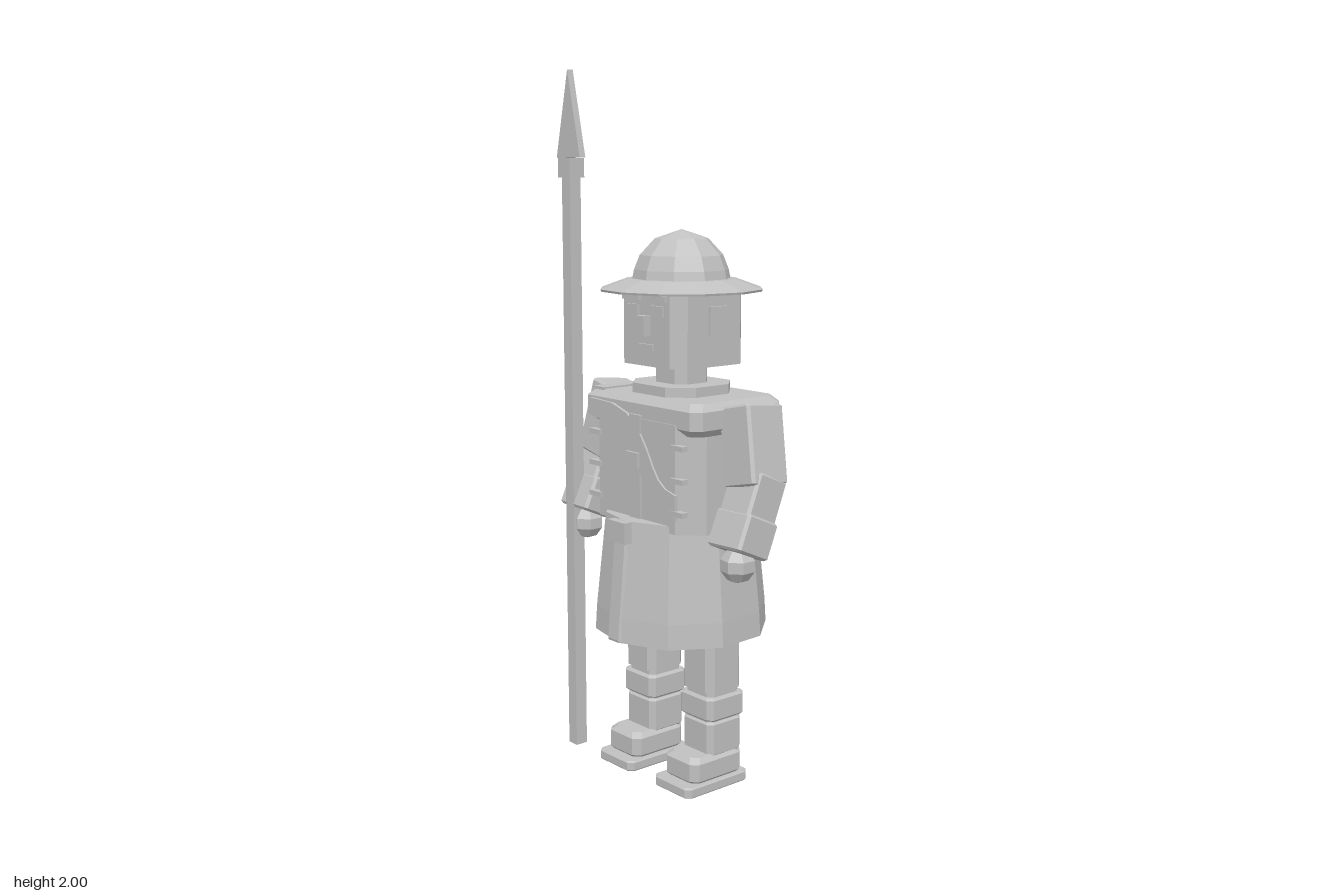
import * as THREE from 'three';
import { ConvexGeometry } from 'three/addons/geometries/ConvexGeometry.js';

const stone = new THREE.MeshStandardMaterial({ color: 0xc0c0c0 });
stone.name = 'plain grey';

export function createModel() {
  const model = new THREE.Group();
  model.name = 'spearman';

  const add = (name, geometry, x = 0, y = 0, z = 0, parent = model) => {
    const mesh = new THREE.Mesh(geometry, stone);
    mesh.name = name;
    mesh.position.set(x, y, z);
    parent.add(mesh);
    return mesh;
  };

  // Give every face its own flat normal
  const facet = (geometry) => {
    const flat = geometry.index ? geometry.toNonIndexed() : geometry;
    flat.computeVertexNormals();
    return flat;
  };

  // Box with cut vertical corners (c) and bevelled top and bottom rims (e)
  const block = (w, h, d, c, e = 0) => {
    const points = [];
    const levels = e > 0 ? [[h / 2 - e, 0], [h / 2, e]] : [[h / 2, 0]];
    for (const [y, inset] of levels) {
      const a = w / 2 - inset, b = d / 2 - inset;
      for (const sx of [-1, 1]) for (const sy of [-1, 1]) for (const sz of [-1, 1]) {
        points.push(new THREE.Vector3(sx * a, sy * y, sz * (b - c)));
        points.push(new THREE.Vector3(sx * (a - c), sy * y, sz * b));
      }
    }
    return new ConvexGeometry(points);
  };

  // Plain box given by its centre and size
  const box = (name, w, h, d, x, y, z, parent) =>
    add(name, new THREE.BoxGeometry(w, h, d), x, y, z, parent);

  const lathe = (profile, sides) => facet(new THREE.LatheGeometry(
    profile.map(([r, y]) => new THREE.Vector2(r, y)), sides, 0.08));

  // Block whose long axis runs from a to b
  const limb = (name, a, b, w, d, parent) => {
    const from = new THREE.Vector3(...a), to = new THREE.Vector3(...b);
    const dir = to.clone().sub(from);
    const mid = from.clone().add(to).multiplyScalar(0.5);
    const mesh = add(name, block(w, dir.length(), d, 0.008, 0.006), mid.x, mid.y, mid.z, parent);
    mesh.quaternion.setFromUnitVectors(new THREE.Vector3(0, -1, 0), dir.normalize());
    return mesh;
  };

  // Torso: cut-cornered body under a broader yoke
  add('torso', block(0.45, 0.3, 0.33, 0.06), 0, 0.9, 0);
  add('yoke', block(0.49, 0.09, 0.33, 0.025, 0.02), 0, 1.065, -0.003);
  add('collar', block(0.26, 0.03, 0.24, 0.06), 0, 1.122, 0);
  add('neck', block(0.13, 0.1, 0.12, 0.025), 0, 1.16, 0);

  // Coat front and side fasteners
  box('placket', 0.045, 0.3, 0.012, 0.0, 0.91, 0.165);
  box('chestBuckle', 0.052, 0.042, 0.02, -0.003, 0.935, 0.17);
  for (const sx of [-1, 1]) for (const sz of [-1, 1]) for (const y of [0.81, 0.9, 0.99]) {
    box('sideFastener', 0.05, 0.014, 0.02, sx * 0.178, y, sz * 0.163);
  }

  // Sash across chest and back, over the right shoulder
  const sash = new THREE.Shape();
  sash.moveTo(-0.2, 1.085);
  sash.bezierCurveTo(-0.04, 1.09, 0.0, 1.05, 0.05, 0.97);
  sash.bezierCurveTo(0.09, 0.9, 0.1, 0.87, 0.17, 0.86);
  sash.lineTo(0.17, 0.79);
  sash.bezierCurveTo(0.08, 0.79, 0.06, 0.85, 0.01, 0.92);
  sash.bezierCurveTo(-0.05, 1.0, -0.1, 1.03, -0.2, 1.035);
  const sashGeo = () => facet(new THREE.ExtrudeGeometry(sash,
    { depth: 0.012, bevelEnabled: false, curveSegments: 4 }));
  add('sashFront', sashGeo(), 0, 0, 0.159);
  add('sashBack', sashGeo(), 0, 0, -0.174);
  box('sashShoulder', 0.05, 0.008, 0.3, -0.19, 1.111, -0.003);

  // Flared ten-sided skirt, open underneath
  add('skirt', lathe([[0, 0.74], [0.19, 0.74], [0.232, 0.43], [0.248, 0.43],
    [0.244, 0.5], [0.216, 0.77], [0, 0.77]], 10));
  const flap = limb('skirtFlap', [0, 0.77, 0.212], [0, 0.43, 0.243], 0.06, 0.016);
  flap.rotation.set(-0.09, 0, 0);
  box('beltBuckle', 0.075, 0.06, 0.025, 0, 0.74, 0.225);

  // Head and face
  add('head', block(0.265, 0.22, 0.262, 0.035), 0, 1.3, -0.004);
  for (const s of [-1, 1]) {
    box('brow', 0.07, 0.015, 0.018, s * 0.056, 1.378, 0.13);
    box('eye', 0.045, 0.03, 0.012, s * 0.052, 1.343, 0.128);
    box('ear', 0.016, 0.08, 0.062, s * 0.134, 1.315, -0.013);
  }
  box('nose', 0.036, 0.055, 0.03, 0, 1.302, 0.136);
  box('mouth', 0.065, 0.017, 0.012, 0, 1.243, 0.128);

  // Brimmed helmet
  add('helmetBrim', lathe([[0, 1.4], [0.12, 1.405], [0.228, 1.392], [0.23, 1.398],
    [0.155, 1.425], [0, 1.432]], 12));
  add('helmetDome', lathe([[0, 1.41], [0.14, 1.415], [0.133, 1.45], [0.117, 1.49],
    [0.075, 1.535], [0, 1.56]], 10));

  for (const s of [-1, 1]) {
    // Arm: sleeve, bent forearm, cuff and faceted fist
    const arm = new THREE.Group();
    arm.name = s > 0 ? 'leftArm' : 'rightArm';
    model.add(arm);
    limb('upperArm', [s * 0.277, 1.1, -0.005], [s * 0.324, 0.89, 0.016], 0.12, 0.13, arm);
    limb('forearm', [s * 0.325, 0.92, 0.005], [s * 0.329, 0.75, 0.078], 0.115, 0.11, arm);
    limb('cuff', [s * 0.327, 0.815, 0.048], [s * 0.329, 0.72, 0.09], 0.13, 0.118, arm);
    add('hand', facet(new THREE.SphereGeometry(0.05, 7, 5)), s * 0.33, 0.688, 0.086, arm);

    // Leg: trouser, wrapped calf and shoe
    const leg = new THREE.Group();
    leg.name = s > 0 ? 'leftLeg' : 'rightLeg';
    leg.position.x = s * 0.127;
    model.add(leg);
    add('trouser', block(0.127, 0.47, 0.13, 0.02), 0, 0.515, -0.004, leg);
    add('shin', block(0.112, 0.25, 0.115, 0.015), 0, 0.17, -0.006, leg);
    add('upperWrap', block(0.136, 0.068, 0.138, 0.015, 0.006), 0, 0.232, -0.006, leg);
    add('lowerWrap', block(0.124, 0.1, 0.126, 0.015, 0.006), 0, 0.143, -0.006, leg);
    add('shoe', block(0.138, 0.078, 0.19, 0.02, 0.014), s * 0.001, 0.063, 0.028, leg);
    add('sole', block(0.154, 0.03, 0.232, 0.015, 0.004), 0, 0.015, 0.036, leg);
  }

  // Spear in the right hand
  const spear = new THREE.Group();
  spear.name = 'spear';
  spear.position.set(-0.342, 0, 0.122);
  model.add(spear);
  box('shaft', 0.038, 1.71, 0.038, 0, 0.855, 0, spear);
  box('socket', 0.055, 0.055, 0.052, 0, 1.727, 0, spear);
  const blade = new THREE.Shape([[-0.055, 1.755], [0.055, 1.755], [0, 2]]
    .map(([x, y]) => new THREE.Vector2(x, y)));
  add('blade', new THREE.ExtrudeGeometry(blade, { depth: 0.02, bevelEnabled: false }),
    0, 0, -0.01, spear);

  return model;
}
